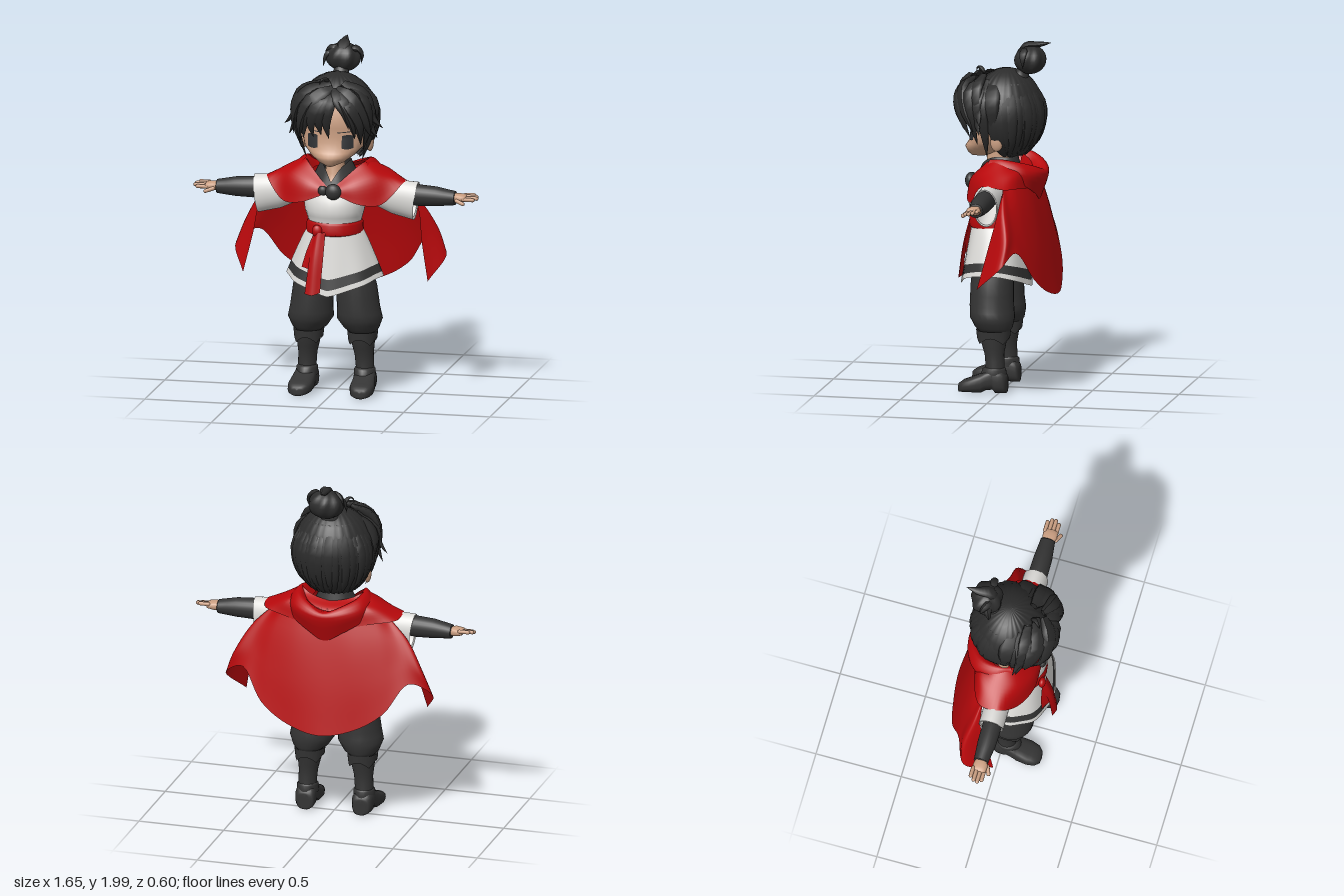
import * as THREE from 'three';
import { mergeVertices } from 'three/addons/utils/BufferGeometryUtils.js';

const V = (x, y, z) => new THREE.Vector3(x, y, z);
const mat = (name, color) => new THREE.MeshStandardMaterial({ name, color, side: THREE.DoubleSide });
const lerp = THREE.MathUtils.lerp;

// Grid surface from a rule (u, v) -> point
function surf(fn, nu = 24, nv = 12) {
  const pos = [], idx = [];
  for (let j = 0; j <= nv; j++) for (let i = 0; i <= nu; i++) pos.push(...fn(i / nu, j / nv).toArray());
  for (let j = 0; j < nv; j++) for (let i = 0; i < nu; i++) {
    const a = j * (nu + 1) + i, b = a + nu + 1;
    idx.push(a, b, a + 1, a + 1, b, b + 1);
  }
  let g = new THREE.BufferGeometry();
  g.setAttribute('position', new THREE.Float32BufferAttribute(pos, 3));
  g.setIndex(idx);
  g = mergeVertices(g, 1e-5);
  g.computeVertexNormals();
  return g;
}

// Linear lookup in rows [y, centreX, halfWidth, frontZ, backZ]
function rowAt(rows, t) {
  const k = Math.min(Math.floor(t), rows.length - 2);
  return rows[k].map((a, i) => lerp(a, rows[k + 1][i], t - k));
}

// Body of oval rings stacked along y; p < 1 makes them squarer
function rings(rows, p = 1, nu = 24) {
  const sq = s => Math.sign(s) * Math.abs(s) ** p;
  return surf((u, v) => {
    const [y, cx, w, f, b] = rowAt(rows, v * (rows.length - 1)), a = u * Math.PI * 2;
    return V(cx + w * sq(Math.sin(a)), y, (f + b) / 2 + (f - b) / 2 * sq(Math.cos(a)));
  }, nu, (rows.length - 1) * 2);
}

// Smooth cloth through columns of points; mirrored columns start at x = 0
function cloth(cols, mirror = true, nu = 40, nv = 12) {
  if (mirror) cols = [...cols.slice(1).reverse().map(c => c.map(([x, y, z]) => [-x, y, z])), ...cols];
  const curves = cols.map(c => new THREE.CatmullRomCurve3(c.map(q => V(...q))));
  return surf((u, v) => new THREE.CatmullRomCurve3(curves.map(c => c.getPoint(v))).getPoint(u), nu, nv);
}

// Tapered lock of hair, flattened toward a centre
function lock(pts, r, centre = V(0, 1.58, 0), flat = 0.5) {
  const curve = new THREE.CatmullRomCurve3(pts.map(q => V(...q)));
  const n = 10, m = 6, g = new THREE.TubeGeometry(curve, n, r, m), P = g.attributes.position;
  for (let i = 0; i < P.count; i++) {
    const t = Math.floor(i / (m + 1)) / n, c = curve.getPointAt(t);
    const k = t < 0.25 ? 0.5 + 2 * t : Math.max(0.02, 1 - ((t - 0.25) / 0.75) ** 1.8);
    const off = V().fromBufferAttribute(P, i).sub(c).multiplyScalar(k), d = c.clone().sub(centre).normalize();
    off.addScaledVector(d, -(1 - flat) * off.dot(d));
    P.setXYZ(i, ...c.add(off).toArray());
  }
  g.computeVertexNormals();
  return g;
}

export function createModel() {
  const root = new THREE.Group();
  root.name = 'capedFigure';
  const skin = mat('skin', 0xcb9f82), hair = mat('hair', 0x2c2c2c), dark = mat('darkCloth', 0x343434);
  const white = mat('whiteCloth', 0xdad9d6), red = mat('redCloth', 0xb7080b), eyeMat = mat('eyes', 0x2e3033);
  const add = (name, geo, m, parent = root) => {
    const mesh = new THREE.Mesh(geo, m);
    mesh.name = name;
    parent.add(mesh);
    return mesh;
  };
  const ball = (name, r, m, pos, scale) => {
    const b = add(name, new THREE.SphereGeometry(r, 18, 12), m);
    b.position.set(...pos);
    b.scale.set(...scale);
  };

  // Head and neck
  const headRows = [[1.325, 0, 0, 0.19, 0.15], [1.33, 0, 0.025, 0.2, 0.11], [1.35, 0, 0.072, 0.22, 0.06],
    [1.385, 0, 0.123, 0.234, -0.01], [1.43, 0, 0.167, 0.205, -0.04], [1.5, 0, 0.186, 0.193, -0.08],
    [1.6, 0, 0.19, 0.198, -0.1], [1.72, 0, 0.15, 0.16, -0.08], [1.76, 0, 0, 0.05, 0]];
  add('head', rings(headRows, 1, 32), skin);
  add('neck', rings([[1.2, 0, 0.065, 0.15, -0.02], [1.27, 0, 0.055, 0.115, -0.02], [1.42, 0, 0.048, 0.1, -0.01]]), skin);

  // Eyes and brows as thin patches on the face
  const onFace = (x, y) => {
    const k = headRows.findIndex(r => r[0] > y) - 1;
    const [, , w, f, b] = rowAt(headRows, k + (y - headRows[k][0]) / (headRows[k + 1][0] - headRows[k][0]));
    return V(x, y, (f + b) / 2 + (f - b) / 2 * Math.sqrt(1 - (x / w) ** 2) + 0.005);
  };
  for (const s of [1, -1]) {
    add('eye', surf((u, v) => onFace(s * lerp(0.07, 0.132, u), lerp(1.438, 1.508, v) + 0.006 * Math.sin(u * Math.PI) * (v * 2 - 1)), 8, 8), eyeMat);
    add('brow', surf((u, v) => onFace(s * lerp(0.045, 0.12, u), lerp(1.524, 1.529, v) + 0.006 * u), 8, 2), eyeMat);
    ball('ear', 1, skin, [s * 0.193, 1.442, 0.012], [0.02, 0.052, 0.036]);
  }

  // Hair cap: low at the back, cut high over the face, with strand ridges
  const scalp = (a, th, k = 1) => V(0.235 * k * Math.sin(th) * Math.sin(a), 1.572 + 0.265 * k * Math.cos(th),
    -0.003 + 0.214 * k * Math.sin(th) * Math.cos(a));
  add('hairCap', surf((u, v) => {
    const a = u * Math.PI * 2, front = THREE.MathUtils.smoothstep(Math.cos(a), -0.05, 0.6);
    return scalp(a, v * Math.PI * lerp(0.82, 0.37, front), 1 + 0.012 * v * Math.cos(a * 26));
  }, 104, 16), hair);
  for (let i = 0; i < 19; i++) {
    const a = Math.PI * lerp(0.58, 1.42, i / 18), e = 0.02 * ((i * 7) % 3), k = 0.012 * ((i * 5) % 3) - 0.012;
    add('backLock', lock([[0.22, 0.96], [0.45, 0.975 + k], [0.66, 0.985 + k], [0.81 + e - 0.02, 1.01]]
      .map(([t, q]) => scalp(a, t * Math.PI, q).toArray()), 0.042), hair);
  }
  const bangs = [
    [0.05, [0.04, 1.78, 0.18], [0.13, 1.74, 0.22], [0.2, 1.62, 0.2], [0.23, 1.5, 0.14]],
    [0.05, [0.05, 1.76, 0.19], [0.12, 1.7, 0.245], [0.175, 1.58, 0.22], [0.175, 1.46, 0.17]],
    [0.046, [0.03, 1.77, 0.2], [0.1, 1.71, 0.25], [0.14, 1.62, 0.25], [0.15, 1.5, 0.21]],
    [0.036, [0.02, 1.78, 0.2], [0.06, 1.73, 0.25], [0.105, 1.66, 0.262], [0.12, 1.56, 0.24]],
    [0.058, [0.02, 1.78, 0.19], [-0.06, 1.74, 0.245], [-0.125, 1.64, 0.25], [-0.15, 1.49, 0.205]],
    [0.042, [0.03, 1.77, 0.2], [0.008, 1.7, 0.265], [-0.005, 1.6, 0.265], [0.005, 1.5, 0.235]],
    [0.052, [0.01, 1.77, 0.2], [-0.04, 1.69, 0.27], [-0.05, 1.6, 0.265], [-0.04, 1.52, 0.235]],
    [0.052, [0, 1.77, 0.2], [-0.06, 1.69, 0.27], [-0.095, 1.59, 0.26], [-0.085, 1.505, 0.23]],
    [0.05, [0, 1.8, 0.15], [-0.15, 1.74, 0.2], [-0.21, 1.62, 0.18], [-0.22, 1.5, 0.14]],
    [0.048, [0, 1.78, 0.2], [-0.1, 1.72, 0.25], [-0.16, 1.6, 0.24], [-0.175, 1.46, 0.17]],
    [0.014, [-0.02, 1.8, 0.13], [-0.03, 1.825, 0.155], [-0.05, 1.825, 0.175], [-0.06, 1.8, 0.185]]];
  for (const [r, ...pts] of bangs) add('bang', lock(pts, r), hair);
  const sideLocks = [[0.05, [0.06, 1.8, 0.12], [0.19, 1.73, 0.14], [0.235, 1.6, 0.11], [0.285, 1.545, 0.09]],
    [0.05, [0.08, 1.78, 0.13], [0.18, 1.72, 0.18], [0.212, 1.59, 0.16], [0.18, 1.42, 0.125]],
    [0.05, [0.1, 1.76, 0.1], [0.21, 1.67, 0.13], [0.222, 1.56, 0.12], [0.255, 1.49, 0.1]],
    [0.045, [0.1, 1.78, 0.09], [0.21, 1.66, 0.1], [0.208, 1.5, 0.08], [0.16, 1.35, 0.075]],
    [0.055, [0.1, 1.78, 0.05], [0.215, 1.68, 0.04], [0.222, 1.57, 0.03], [0.205, 1.47, 0.025]]];
  for (const s of [1, -1]) for (const [r, ...pts] of sideLocks)
    add('sideLock', lock(pts.map(([x, y, z]) => [s * x, y, z]), r), hair);

  // Topknot
  const bunC = V(0.005, 1.893, -0.14);
  add('topknotBase', rings([[1.79, 0, 0.06, -0.02, -0.13], [1.83, 0, 0.04, -0.06, -0.13], [1.87, 0, 0.05, -0.08, -0.17]]), dark);
  add('topknot', surf((u, v) => {
    const a = u * Math.PI * 2, r = 1 + 0.05 * Math.cos(a * 7 + v * 6);
    return V(0.1 * r * Math.sin(v * Math.PI) * Math.sin(a), 0.083 * Math.cos(v * Math.PI),
      0.088 * r * Math.sin(v * Math.PI) * Math.cos(a)).add(bunC);
  }, 42, 14), hair);
  const wisps = [[0.036, [0, 1.92, -0.08], [0.01, 1.975, -0.12], [0, 1.98, -0.19], [0, 1.992, -0.26]],
    [0.024, [0.04, 1.93, -0.12], [0.085, 1.95, -0.12], [0.115, 1.92, -0.12], [0.11, 1.86, -0.12]],
    [0.024, [-0.04, 1.92, -0.12], [-0.085, 1.91, -0.11], [-0.1, 1.87, -0.1], [-0.105, 1.84, -0.1]],
    [0.024, [-0.02, 1.94, -0.1], [-0.06, 1.95, -0.12], [-0.09, 1.93, -0.14], [-0.1, 1.89, -0.15]]];
  for (const [r, ...pts] of wisps) add('topknotWisp', lock(pts, r, bunC), hair);

  // Robe: bodice, banded skirt, collar
  add('bodice', rings([[0.92, 0, 0.15, 0.19, -0.08], [1.0, 0, 0.152, 0.195, -0.085], [1.06, 0, 0.17, 0.213, -0.09],
    [1.13, 0, 0.18, 0.198, -0.1], [1.2, 0, 0.15, 0.15, -0.07], [1.24, 0, 0.08, 0.08, -0.03]]), white);
  const skirt = (a, v) => {
    const s = Math.abs(Math.sin(a)), k = 1 + 0.02 * v * Math.cos(a * 8), f = lerp(0.19, 0.255, v), b = lerp(-0.085, -0.145, v);
    return V(lerp(0.15, 0.275, v ** 0.85) * k * Math.sin(a), lerp(0.96, 0.588 + 0.095 * s ** 1.15, v), (f + b) / 2 + (f - b) / 2 * k * Math.cos(a));
  };
  for (const [name, v0, v1, m] of [['skirt', 0, 0.745, white], ['skirtBand', 0.745, 0.91, dark], ['skirtHem', 0.91, 1, white]])
    add(name, surf((u, v) => skirt(u * Math.PI * 2, lerp(v0, v1, v)), 64, 6), m);
  add('collar', cloth([[[0, 1.24, -0.09], [0, 1.34, -0.065]], [[0.1, 1.26, -0.05], [0.07, 1.335, -0.035]],
    [[0.12, 1.25, 0.07], [0.08, 1.335, 0.05]], [[0.065, 1.18, 0.165], [0.042, 1.3, 0.118]],
    [[0, 1.16, 0.19], [0, 1.23, 0.16]]], true, 32, 4), dark);
  ball('claspKnot', 0.046, dark, [0.022, 1.185, 0.2], [1, 1, 0.7]);
  ball('claspLoop', 0.028, dark, [-0.038, 1.19, 0.2], [1, 1, 0.7]);

  // Sash and hanging ties
  add('sash', rings([[0.925, 0, 0.155, 0.2, -0.09], [0.935, 0, 0.163, 0.212, -0.1], [0.985, 0, 0.161, 0.207, -0.1], [1.0, 0, 0.153, 0.2, -0.09]]), red);
  ball('sashKnot', 0.03, red, [-0.07, 0.955, 0.205], [1, 1.2, 0.7]);
  add('longTie', cloth([[[-0.09, 0.95, 0.2], [-0.105, 0.8, 0.25], [-0.125, 0.605, 0.28]],
    [[-0.06, 0.95, 0.225], [-0.07, 0.8, 0.265], [-0.08, 0.6, 0.295]],
    [[-0.02, 0.95, 0.21], [-0.025, 0.8, 0.25], [-0.036, 0.615, 0.28]]], false, 8, 8), red);
  add('shortTie', cloth([[[-0.085, 0.95, 0.21], [-0.125, 0.85, 0.215], [-0.155, 0.75, 0.225]],
    [[-0.055, 0.94, 0.215], [-0.08, 0.85, 0.245], [-0.09, 0.74, 0.26]]], false, 4, 8), red);

  // Cape, shoulder mantle and folded hood, from the back centre outward
  add('cape', cloth([
    [[0, 1.26, -0.14], [0, 1.1, -0.19], [0, 0.85, -0.25], [0, 0.555, -0.305]],
    [[0.15, 1.27, -0.13], [0.17, 1.08, -0.19], [0.19, 0.85, -0.24], [0.2, 0.6, -0.28]],
    [[0.26, 1.25, -0.1], [0.31, 1.1, -0.15], [0.34, 0.9, -0.2], [0.36, 0.7, -0.24]],
    [[0.32, 1.22, -0.07], [0.4, 1.1, -0.11], [0.45, 0.97, -0.145], [0.49, 0.87, -0.165]],
    [[0.35, 1.21, -0.06], [0.46, 1.1, -0.085], [0.56, 0.93, -0.12], [0.61, 0.8, -0.105]],
    [[0.36, 1.19, -0.06], [0.45, 1.08, -0.05], [0.49, 0.87, 0], [0.535, 0.66, 0.05]]], true, 60, 16), red);
  add('mantle', cloth([
    [[0, 1.29, -0.075], [0, 1.25, -0.15], [0, 1.16, -0.18]],
    [[0.12, 1.315, -0.06], [0.23, 1.28, -0.12], [0.29, 1.2, -0.13]],
    [[0.17, 1.34, -0.04], [0.3, 1.275, -0.05], [0.39, 1.21, -0.07]],
    [[0.185, 1.34, 0.01], [0.3, 1.27, 0.04], [0.395, 1.225, 0.05]],
    [[0.16, 1.33, 0.06], [0.25, 1.25, 0.115], [0.285, 1.11, 0.14]],
    [[0.1, 1.28, 0.12], [0.14, 1.22, 0.175], [0.17, 1.115, 0.19]],
    [[0.015, 1.2, 0.175], [0.035, 1.185, 0.19], [0.05, 1.16, 0.195]]], true, 60, 12), red);
  add('hood', cloth([
    [[0, 1.24, -0.1], [0, 1.265, -0.225], [0, 1.24, -0.24], [0, 1.09, -0.195]],
    [[0.09, 1.25, -0.09], [0.1, 1.3, -0.18], [0.13, 1.26, -0.212], [0.1, 1.14, -0.19]],
    [[0.12, 1.27, -0.07], [0.17, 1.33, -0.105], [0.21, 1.28, -0.145], [0.2, 1.2, -0.15]],
    [[0.13, 1.28, 0], [0.185, 1.345, -0.01], [0.23, 1.31, -0.03], [0.26, 1.25, -0.05]],
    [[0.13, 1.28, 0.07], [0.17, 1.34, 0.055], [0.2, 1.3, 0.07], [0.22, 1.26, 0.08]]], true, 40, 12), red);

  // Arms and legs, mirrored
  for (const s of [1, -1]) {
    const limb = new THREE.Group();
    limb.name = s > 0 ? 'leftLimbs' : 'rightLimbs';
    limb.scale.x = s;
    root.add(limb);
    const alongX = (name, rows, m, p) => { add(name, rings(rows, p), m, limb).rotation.z = -Math.PI / 2; };
    // Wide sleeve, its opening slanted in at the bottom
    add('sleeve', surf((u, v) => {
      const [x, cy, h, f, b] = rowAt([[0.12, 1.17, 0.06, 0.08, -0.06], [0.22, 1.16, 0.075, 0.09, -0.06], [0.33, 1.135, 0.098, 0.088, -0.055],
        [0.462, 1.116, 0.11, 0.088, -0.055], [0.457, 1.116, 0.1, 0.08, -0.045]], v * 4);
      const a = u * Math.PI * 2;
      return V(x + 0.016 * v * Math.sin(a), cy + h * Math.sin(a), (f + b) / 2 + (f - b) / 2 * Math.cos(a));
    }, 28, 8), white, limb);
    alongX('bracer', [[0.36, -1.155, 0.055, 0.075, -0.03], [0.48, -1.152, 0.061, 0.08, -0.03], [0.58, -1.15, 0.056, 0.078, -0.028],
      [0.68, -1.145, 0.041, 0.065, -0.02], [0.69, -1.145, 0.039, 0.065, -0.02], [0.69, -1.145, 0, 0.03, 0.03]], dark);
    alongX('palm', [[0.67, -1.148, 0.024, 0.05, -0.005], [0.71, -1.148, 0.026, 0.068, -0.015],
      [0.75, -1.15, 0.018, 0.065, -0.018], [0.76, -1.152, 0, 0.04, 0]], skin, 0.8);
    const finger = (x, y, z, len, ry, rz) => {
      const f = add('finger', new THREE.CapsuleGeometry(0.0115, len, 4, 8), skin, limb);
      f.position.set(x, y, z);
      f.rotation.set(0, ry, rz);
    };
    [0.055, 0.072, 0.068, 0.05].forEach((len, i) => finger(0.742 + len / 2, 1.145 + i * 0.005, 0.056 - i * 0.0215, len, 0, -Math.PI / 2));
    finger(0.725, 1.132, 0.074, 0.045, -0.4, -1.85);

    add('trouserLeg', rings([[0.35, 0.155, 0.07, 0.12, -0.055], [0.375, 0.15, 0.1, 0.145, -0.07], [0.43, 0.142, 0.13, 0.175, -0.08],
      [0.5, 0.135, 0.122, 0.178, -0.073], [0.62, 0.125, 0.115, 0.175, -0.07], [0.76, 0.1, 0.1, 0.165, -0.07], [0.85, 0.08, 0.08, 0.15, -0.06]]), dark, limb);
    add('bootShaft', rings([[0.05, 0.17, 0.055, 0.085, -0.036], [0.15, 0.167, 0.052, 0.08, -0.026], [0.22, 0.163, 0.054, 0.087, -0.024],
      [0.3, 0.157, 0.068, 0.112, -0.038], [0.36, 0.155, 0.074, 0.123, -0.05]]), dark, limb);
    // Folded cuff with a scalloped lower edge
    add('bootCuff', surf((u, v) => {
      const a = u * Math.PI * 2, r = 0.082 + 0.005 * v;
      return V(0.156 + r * Math.sin(a), lerp(0.283 + 0.035 * Math.abs(Math.cos(2 * a)), 0.358, v), 0.038 + (r + 0.012) * Math.cos(a));
    }, 32, 4), dark, limb);
    add('ankleWrap', rings([[0.09, 0.168, 0.062, 0.115, -0.04], [0.135, 0.167, 0.06, 0.098, -0.036], [0.145, 0.166, 0.052, 0.082, -0.026]]), dark, limb);
    add('foot', rings([[-0.042, 0.165, 0, 0, -0.08], [-0.04, 0.165, 0.046, 0, -0.1], [-0.02, 0.167, 0.058, 0, -0.13],
      [0.02, 0.17, 0.06, 0, -0.145], [0.035, 0.17, 0.06, -0.018, -0.145], [0.075, 0.173, 0.064, -0.014, -0.125],
      [0.1, 0.175, 0.067, 0, -0.11], [0.16, 0.178, 0.07, 0, -0.085], [0.205, 0.18, 0.06, 0, -0.068],
      [0.23, 0.181, 0.035, 0, -0.05], [0.235, 0.181, 0, -0.01, -0.035]], 0.7), dark, limb).rotation.x = Math.PI / 2;
  }
  return root;
}
